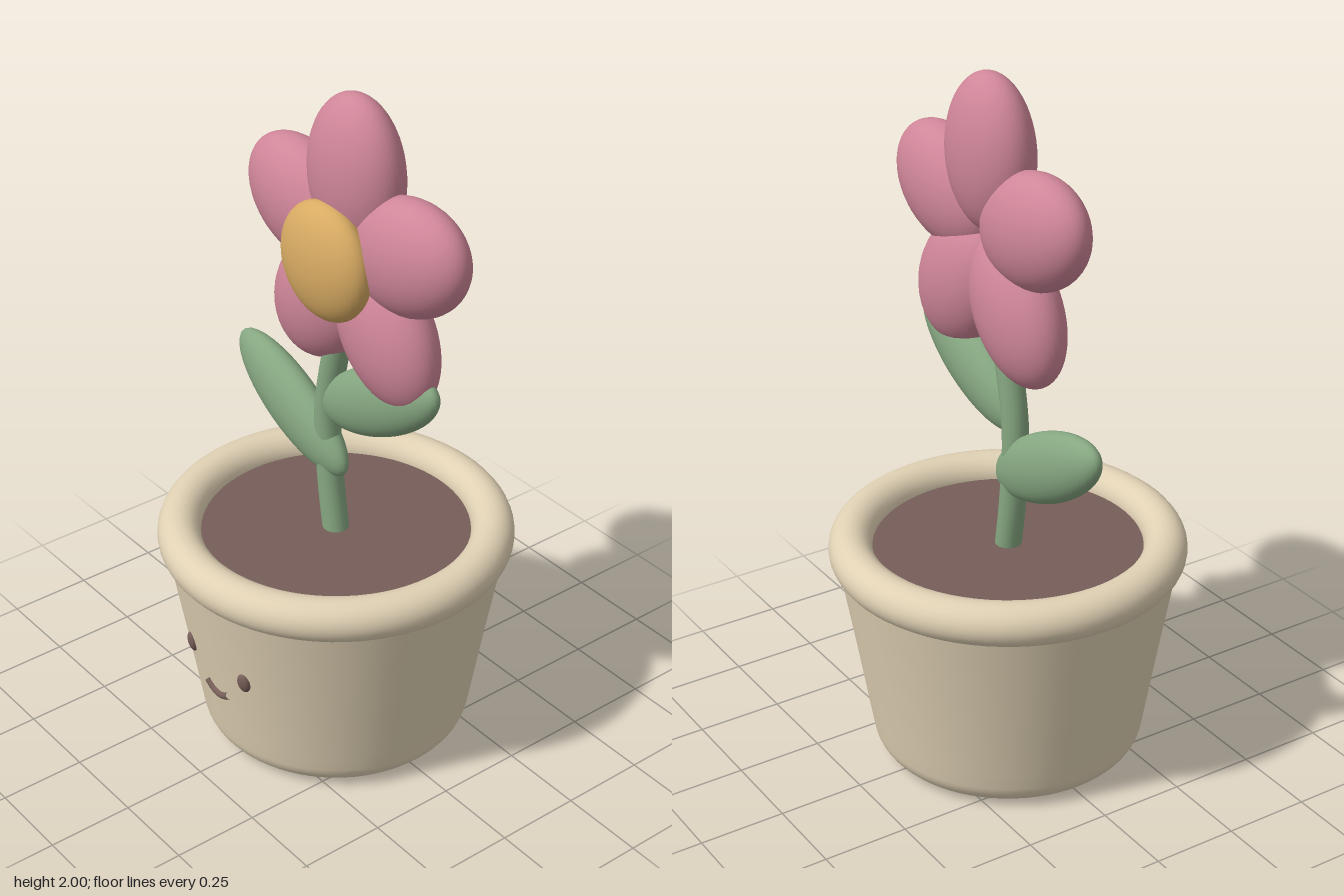
import * as THREE from 'three';

const material = (name, color) => {
  const m = new THREE.MeshStandardMaterial({ color });
  m.name = name;
  return m;
};

export function createModel() {
  const clay = material('clay', 0xe0d1b4);
  const brown = material('brown', 0x775e59);
  const green = material('leaf green', 0x86a781);
  const pink = material('petal pink', 0xcf8699);
  const yellow = material('pollen yellow', 0xd8ab63);

  const model = new THREE.Group();
  model.name = 'pottedFlower';

  const add = (parent, name, geometry, mat, x = 0, y = 0, z = 0) => {
    const mesh = new THREE.Mesh(geometry, mat);
    mesh.name = name;
    mesh.position.set(x, y, z);
    parent.add(mesh);
    return mesh;
  };
  const ellipsoid = (a, b, c) => new THREE.SphereGeometry(1, 40, 28).scale(a, b, c);

  // Pot: tapered wall with a rounded foot
  const pot = new THREE.Group();
  pot.name = 'pot';
  pot.position.x = -0.005;
  model.add(pot);
  const profile = [[0, 0], [0.15, 0], [0.29, 0]];
  for (let i = 0; i <= 8; i++) {
    const t = -Math.PI / 2 + (i / 8) * (Math.PI / 2 - 0.17);
    profile.push([0.308 + 0.085 * Math.cos(t), 0.085 + 0.085 * Math.sin(t)]);
  }
  profile.push([0.4, 0.12], [0.436, 0.34], [0.481, 0.6]);
  add(pot, 'potWall', new THREE.LatheGeometry(profile.map(p => new THREE.Vector2(...p)), 72), clay);

  // Rolled rim and soil
  add(pot, 'rim', new THREE.TorusGeometry(0.445, 0.062, 24, 72).rotateX(Math.PI / 2), clay, 0, 0.642, 0);
  add(pot, 'soil', new THREE.CylinderGeometry(0.385, 0.385, 0.05, 64), brown, 0, 0.618, 0);

  // Face: two eyes and a smile lying on the curved wall
  const wallRadius = y => 0.4 + (y - 0.12) * 0.168;
  for (const [name, side] of [['leftEye', 1], ['rightEye', -1]]) {
    const x = side * 0.123, y = 0.357, r = wallRadius(y);
    const eye = add(pot, name, ellipsoid(0.021, 0.032, 0.013), brown, x, y, Math.sqrt(r * r - x * x));
    eye.rotation.set(0.165, Math.asin(x / r), 0, 'YXZ');
  }
  const smile = [];
  for (let i = -4; i <= 4; i++) {
    const x = i * 0.0125, y = 0.246 + 0.022 * (i / 4) ** 2, r = wallRadius(y);
    smile.push(new THREE.Vector3(x, y, Math.sqrt(r * r - x * x)));
  }
  add(pot, 'smile', new THREE.TubeGeometry(new THREE.CatmullRomCurve3(smile), 24, 0.011, 10), brown);

  // Curved stem
  const path = [[0, 0.6], [-0.03, 0.8], [-0.042, 1.0], [-0.008, 1.2], [0.08, 1.5]];
  const stem = new THREE.CatmullRomCurve3(path.map(([x, y]) => new THREE.Vector3(x, y, 0)));
  add(model, 'stem', new THREE.TubeGeometry(stem, 40, 0.038, 20), green);

  // Leaves
  const leaf = ellipsoid(0.266, 0.1, 0.062);
  add(model, 'leftLeaf', leaf, green, 0.18, 1.144, 0).rotation.z = 0.48;
  add(model, 'rightLeaf', leaf, green, -0.2, 0.963, 0).rotation.z = -0.48;

  // Flower head: five petals around a flattened centre
  const flower = new THREE.Group();
  flower.name = 'flowerHead';
  flower.position.set(0.08, 1.555, 0);
  model.add(flower);
  const petal = ellipsoid(0.162, 0.221, 0.103);
  for (let i = 0; i < 5; i++) {
    const a = (i / 5) * Math.PI * 2;
    add(flower, 'petal', petal, pink, -Math.sin(a) * 0.224, Math.cos(a) * 0.224, 0).rotation.z = a;
  }
  add(flower, 'flowerCentre', ellipsoid(0.166, 0.166, 0.077), yellow, 0, 0.003, 0.1);

  return model;
}
